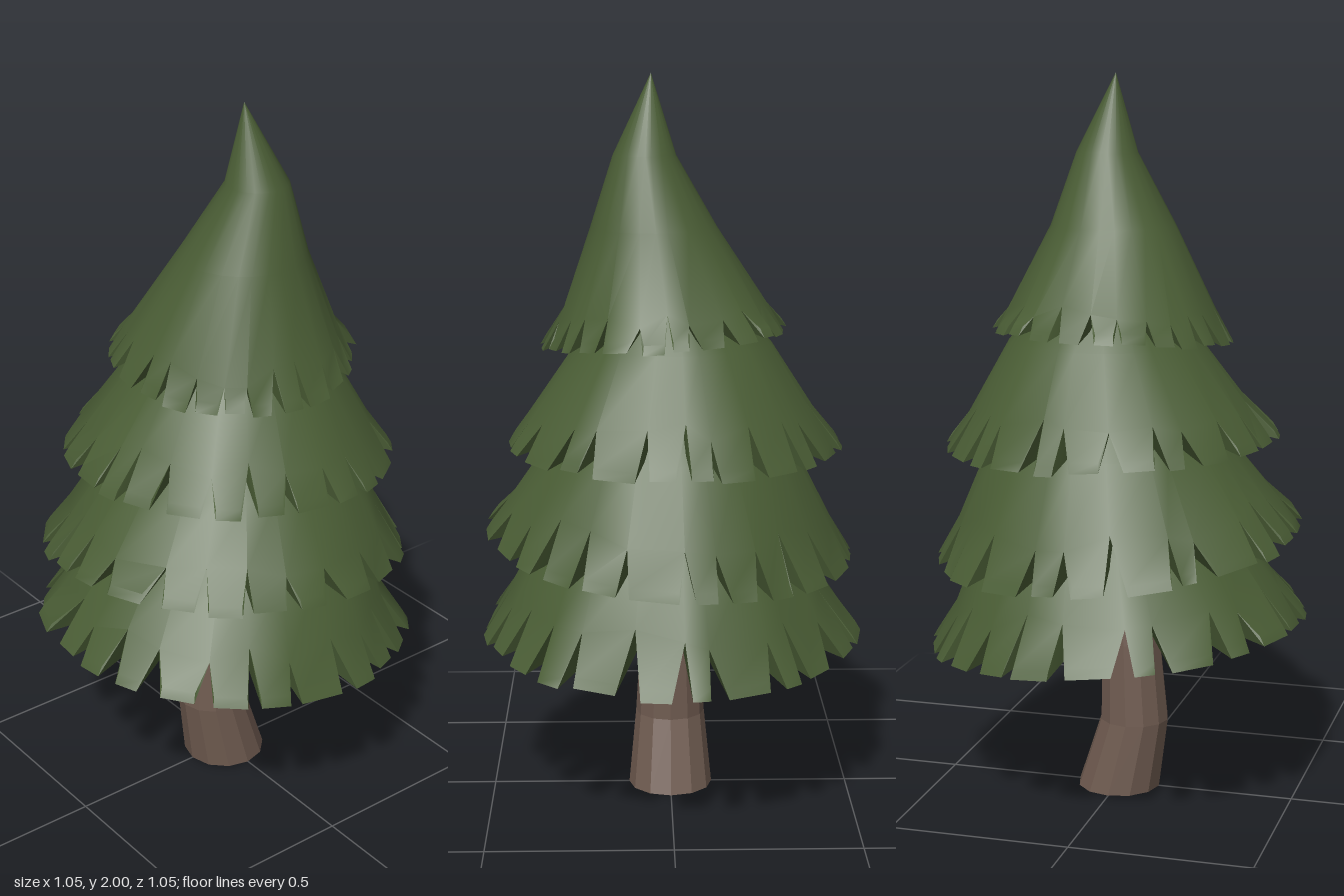
import * as THREE from 'three';
import { toCreasedNormals } from 'three/addons/utils/BufferGeometryUtils.js';

const TEETH = 24;

function seeded(seed) {
  return () => (seed = (seed * 16807) % 2147483647) / 2147483647;
}

// One tier: a smooth skirt whose lower edge is cut into tapered teeth.
// rings run from rim to top as [y, centreX, centreZ, radius]; tilt is the rim slope along x and z.
function tierGeometry({ rings, tilt, seed }) {
  const rnd = seeded(seed);
  const pos = [];
  const tri = (...pts) => pts.forEach((p) => pos.push(p.x, p.y, p.z));
  const quad = (a, b, c, d) => { tri(a, b, c); tri(a, c, d); };

  const point = (k, a, dr = 0, dy = 0) => {
    const [y, cx, cz, r] = rings[k];
    const x = Math.cos(a) * (r + dr), z = Math.sin(a) * (r + dr);
    const lean = k === 0 ? 1 : k === 1 ? 0.7 : 0;
    return new THREE.Vector3(cx + x, y + dy + lean * (tilt[0] * x + tilt[1] * z), cz + z);
  };

  // Irregular notch angles and notch tips
  const step = (Math.PI * 2) / TEETH;
  const angles = [], notches = [];
  for (let i = 0; i < TEETH; i++) {
    angles.push((i + (rnd() - 0.5) * 0.5) * step);
    notches.push(point(1, angles[i]).lerp(point(0, angles[i]), rnd() * 0.4));
  }
  angles.push(angles[0] + Math.PI * 2);
  notches.push(notches[0]);

  const hub = new THREE.Vector3(rings[0][1] - 0.02, rings[0][0] + 0.11, rings[0][2]);

  for (let i = 0; i < TEETH; i++) {
    const a0 = angles[i], a1 = angles[i + 1], g0 = notches[i], g1 = notches[i + 1];

    // Skirt strip above the tooth
    let l0 = g0, l1 = g1;
    for (let k = 2; k < rings.length; k++) {
      const u0 = point(k, a0), u1 = point(k, a1);
      tri(l1, l0, u0);
      if (rings[k][3] > 0) tri(l1, u0, u1);
      l0 = u0;
      l1 = u1;
    }

    // Tooth: top, thin end, underside and two side walls
    const w = a1 - a0;
    const e0 = a0 + w * (0.1 + rnd() * 0.16), e1 = a1 - w * (0.1 + rnd() * 0.16);
    const dr = -rnd() * 0.02, dy = (rnd() - 0.5) * 0.015;
    const t0 = point(0, e0, dr - 0.015, dy + 0.025), t1 = point(0, e1, dr - 0.015, dy + 0.025);
    const b0 = point(0, e0, dr, dy), b1 = point(0, e1, dr, dy);
    quad(t1, t0, g0, g1);
    quad(b1, b0, t0, t1);
    tri(b0, b1, hub);
    tri(g0, t0, b0);
    tri(g0, b0, hub);
    tri(t1, g1, b1);
    tri(b1, g1, hub);
  }

  const geo = new THREE.BufferGeometry();
  geo.setAttribute('position', new THREE.Float32BufferAttribute(pos, 3));
  return toCreasedNormals(geo, 0.65);
}

// Bent trunk: a cylinder whose rings follow [y, centreX, radius]
function trunkGeometry() {
  const rings = [[0, 0, 0.117], [0.2, -0.045, 0.097], [0.43, -0.035, 0.083], [0.64, -0.02, 0.065]];
  const geo = new THREE.CylinderGeometry(1, 1, 3, 12, 3);
  const p = geo.attributes.position;
  for (let i = 0; i < p.count; i++) {
    const [y, cx, r] = rings[Math.round(p.getY(i) + 1.5)];
    p.setXYZ(i, cx + p.getX(i) * r, y, p.getZ(i) * r);
  }
  geo.computeVertexNormals();
  return geo;
}

const TIERS = [
  { name: 'bottomTier', seed: 11, tilt: [-0.095, 0],
    rings: [[0.465, 0, 0, 0.535], [0.61, 0.005, 0, 0.425], [0.75, 0.02, 0, 0.36], [0.95, 0.02, 0, 0.15]] },
  { name: 'lowerMiddleTier', seed: 202, tilt: [-0.09, 0.07],
    rings: [[0.715, 0.003, 0, 0.515], [0.86, 0.01, 0, 0.41], [1.0, 0.022, 0, 0.335], [1.2, 0.02, 0, 0.15]] },
  { name: 'upperMiddleTier', seed: 3003, tilt: [-0.04, 0.01],
    rings: [[1.0, 0.018, -0.008, 0.465], [1.13, 0.025, -0.01, 0.36], [1.28, 0.037, -0.01, 0.265], [1.45, 0.04, 0, 0.12]] },
  { name: 'topTier', seed: 40004, tilt: [0.03, -0.07],
    rings: [[1.287, 0.017, 0.015, 0.343], [1.385, 0.02, 0.02, 0.27], [1.59, 0.03, 0.045, 0.172],
      [1.785, 0.055, 0.07, 0.085], [2.0, 0.025, 0.052, 0]] },
];

export function createModel() {
  const group = new THREE.Group();
  group.name = 'pineTree';

  const bark = new THREE.MeshStandardMaterial({ color: 0x6f5b50, flatShading: true });
  const needles = new THREE.MeshStandardMaterial({ color: 0x4a5d35 });

  const trunk = new THREE.Mesh(trunkGeometry(), bark);
  trunk.name = 'trunk';
  group.add(trunk);

  for (const tier of TIERS) {
    const mesh = new THREE.Mesh(tierGeometry(tier), needles);
    mesh.name = tier.name;
    group.add(mesh);
  }
  return group;
}
